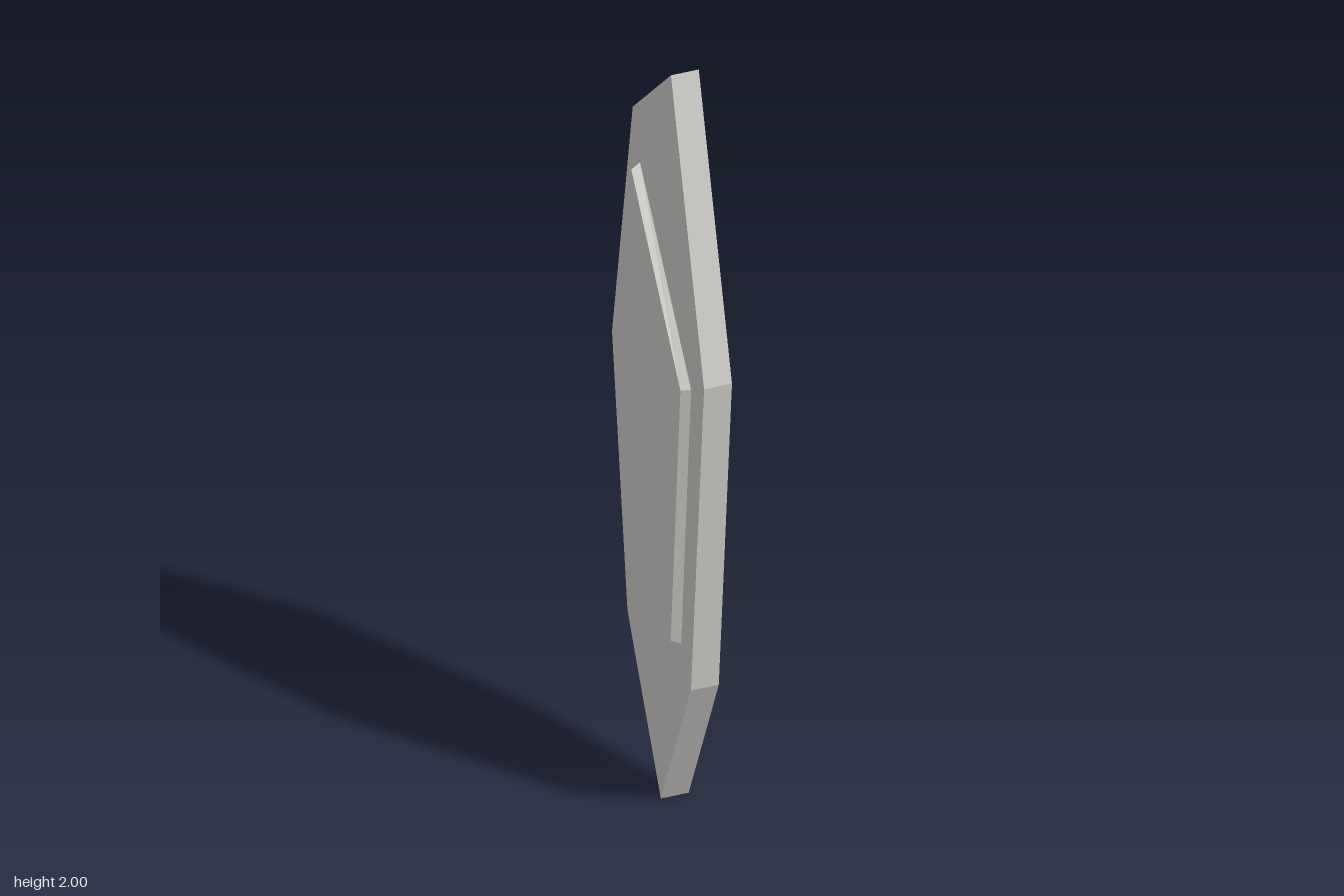
import * as THREE from 'three';

// Outlines as [z, y] corner points
const PLATE = [[0.079, 2], [-0.156, 1.783], [-0.283, 1.102], [-0.188, 0.397], [0.017, 0], [0.202, 0.397], [0.283, 1.261]];
const PANEL = [[-0.111, 1.657], [-0.205, 1.088], [-0.126, 0.491], [0.142, 0.491], [0.203, 1.215]];
const HALF = 0.035;    // half thickness of the plate
const RAISE = 0.023;   // height of the raised panel on each side
const INSET = 0.009;   // slope of the panel's rim

// Extrudes a z-y outline across x, centred on x = 0
function slab(points, options) {
  const shape = new THREE.Shape(points.map(([z, y]) => new THREE.Vector2(-z, y)));
  const geometry = new THREE.ExtrudeGeometry(shape, { depth: 2 * HALF, bevelEnabled: false, ...options });
  geometry.translate(0, 0, -HALF);
  geometry.rotateY(Math.PI / 2);
  return geometry;
}

export function createModel() {
  const model = new THREE.Group();
  model.name = 'crystalShard';
  const stone = new THREE.MeshStandardMaterial({ color: 0xcac9c5, flatShading: true });
  stone.name = 'pale grey stone';

  // Main seven-sided plate
  const plate = new THREE.Mesh(slab(PLATE), stone);
  plate.name = 'plate';

  // Panel passing through the plate, raised with a sloped rim on both sides
  const panel = new THREE.Mesh(slab(PANEL, {
    bevelEnabled: true, bevelSegments: 1, bevelThickness: RAISE, bevelSize: INSET, bevelOffset: -INSET,
  }), stone);
  panel.name = 'raisedPanel';

  model.add(plate, panel);
  return model;
}
